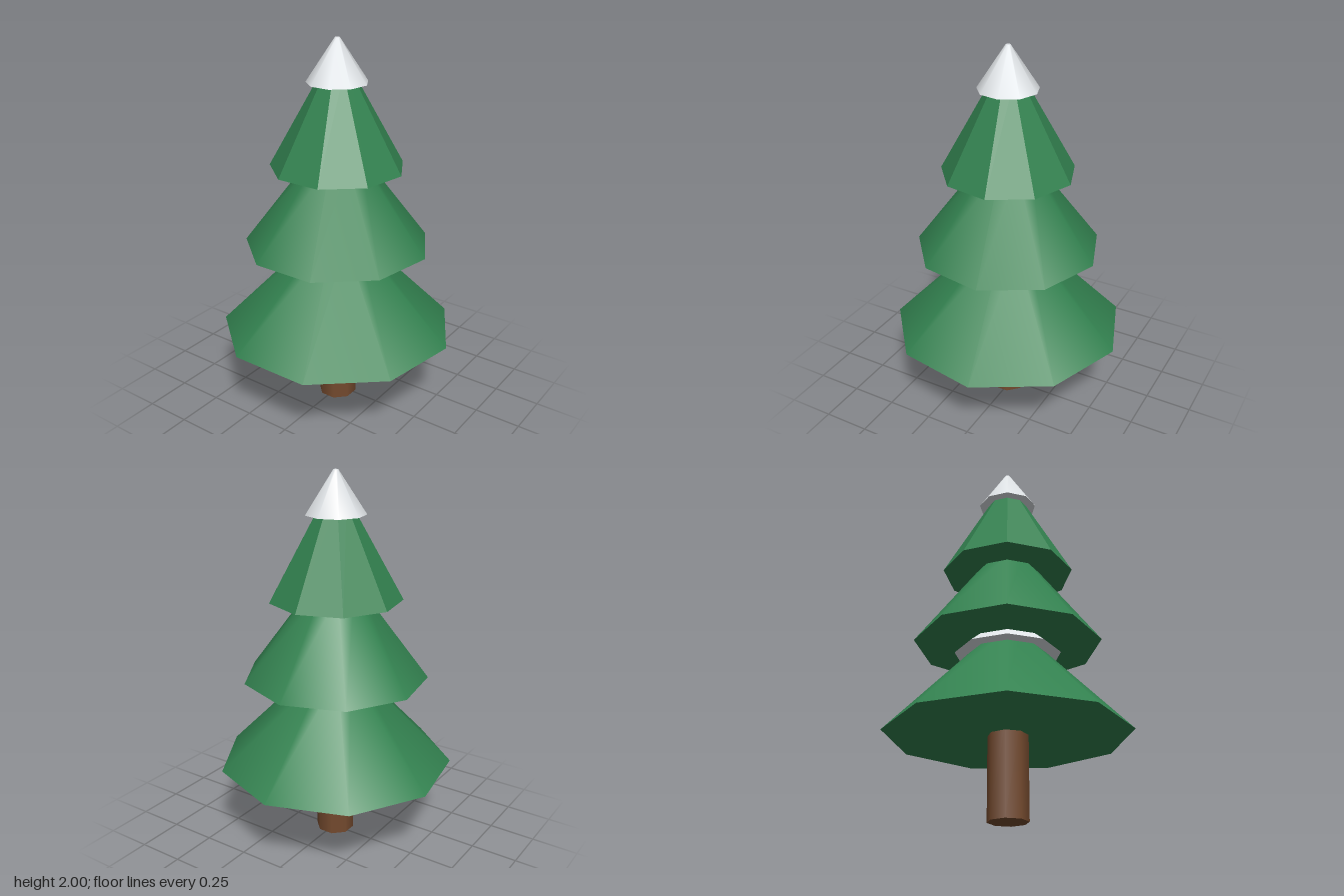
import * as THREE from 'three';

const CENTER_Z = 0.0175;

export function createModel() {
  const tree = new THREE.Group();
  tree.name = 'pineTree';

  const material = (name, color) => {
    const m = new THREE.MeshStandardMaterial({ color });
    m.name = name;
    return m;
  };
  const needles = material('needle green', 0x338250);
  const bark = material('bark brown', 0x744a2e);
  const snow = material('snow white', 0xdfe3e6);

  // Nine-sided frustum with a corner towards the back
  function addTier(name, mat, bottomY, topY, bottomR, topR, faceted = false) {
    const height = topY - bottomY;
    let geometry = new THREE.CylinderGeometry(topR, bottomR, height, 9, 1, false, Math.PI);
    if (faceted) {
      geometry = geometry.toNonIndexed();
      geometry.computeVertexNormals();
    }
    const mesh = new THREE.Mesh(geometry, mat);
    mesh.name = name;
    mesh.position.set(0, bottomY + height / 2, CENTER_Z);
    tree.add(mesh);
  }

  // Branches, each top hidden inside the tier above
  addTier('lowerBranches', needles, 0.43, 0.96, 0.632, 0.112);
  addTier('middleBranches', needles, 0.92, 1.4, 0.492, 0.13);
  addTier('upperBranches', needles, 1.345, 1.84, 0.351, 0.074, true);

  // Snow between the tiers and on the tip
  addTier('snowCollar', snow, 0.865, 0.96, 0.279, 0.165);
  addTier('snowCap', snow, 1.78, 2.0, 0.158, 0.013);

  // Eight-sided trunk with flat faces on the axes
  const trunk = new THREE.Mesh(
    new THREE.CylinderGeometry(0.104, 0.104, 0.47, 8, 1, false, Math.PI / 8),
    bark
  );
  trunk.name = 'trunk';
  trunk.position.set(0, 0.235, CENTER_Z);
  tree.add(trunk);

  return tree;
}
